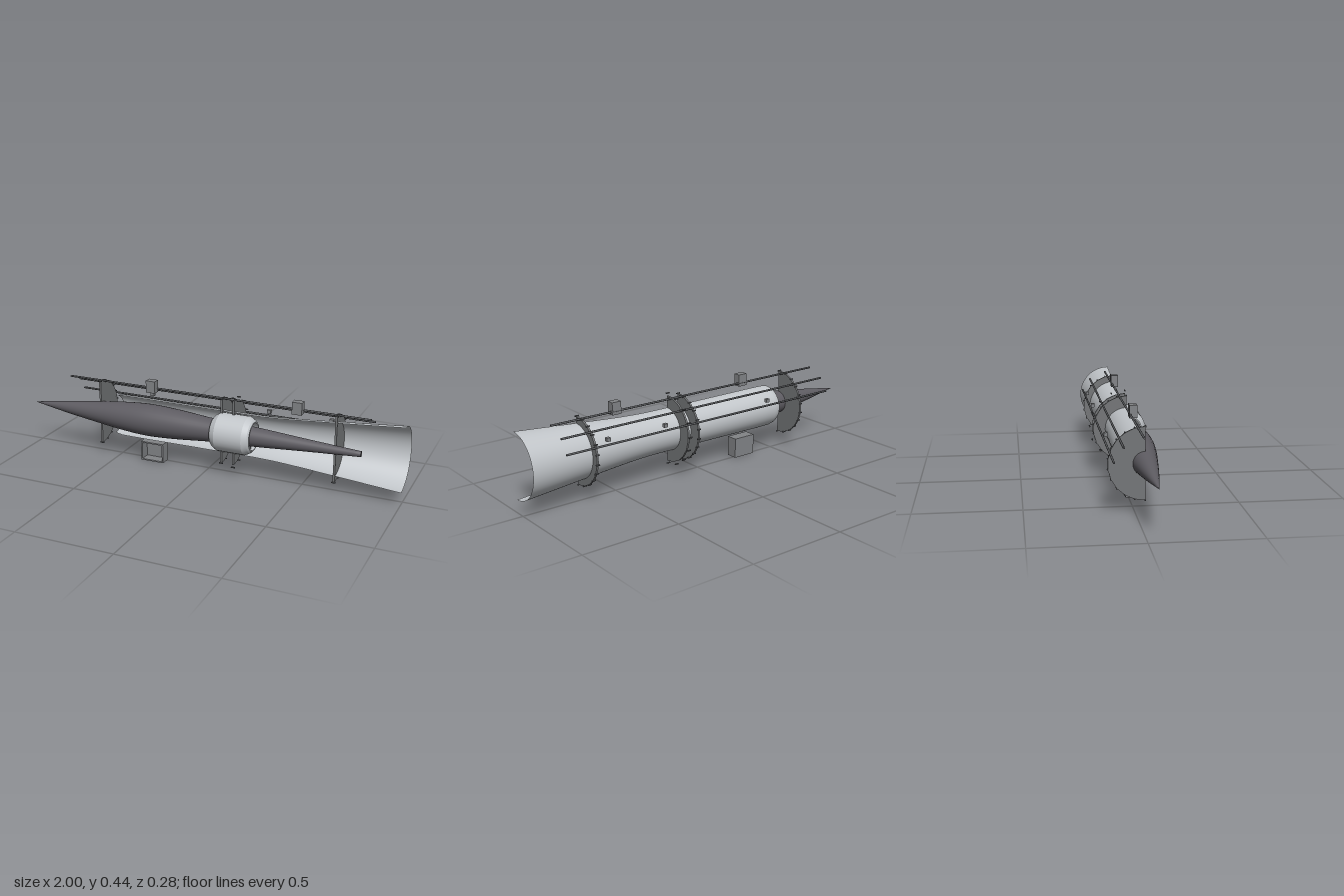
import * as THREE from 'three';

const AXIS_Y = 0.229, AXIS_Z = 0.045;

const mat = (name, color, side = THREE.FrontSide) => {
  const m = new THREE.MeshStandardMaterial({ color, side });
  m.name = name;
  return m;
};

export function createModel() {
  const model = new THREE.Group();
  model.name = 'cutawayNozzle';
  const lightMetal = mat('light metal', 0xc2c6ca, THREE.DoubleSide);
  const darkMetal = mat('dark metal', 0x5e5c62, THREE.DoubleSide);
  const plateMetal = mat('plate metal', 0x747678);
  const boxMetal = mat('box metal', 0x828487);
  const rodMetal = mat('rod metal', 0x5a5c5f);

  const add = (name, geometry, material, x = 0, y = 0, z = 0, parent = model) => {
    const mesh = new THREE.Mesh(geometry, material);
    mesh.name = name;
    mesh.position.set(x, y, z);
    parent.add(mesh);
    return mesh;
  };

  // Everything turned about the long axis lives in this group
  const core = new THREE.Group();
  core.name = 'core';
  core.position.set(0, AXIS_Y, AXIS_Z);
  model.add(core);

  // Profile points are [x, radius]; the lathe axis is laid along x
  const turned = (profile, segments, start = 0, length = Math.PI * 2) =>
    new THREE.LatheGeometry(profile.map(([x, r]) => new THREE.Vector2(r, x)), segments, start, length)
      .rotateZ(-Math.PI / 2);
  const smooth = (points, n) => new THREE.SplineCurve(points.map(p => new THREE.Vector2(...p)))
    .getPoints(n).map(p => [p.x, Math.max(p.y, 0)]);

  // Half shell, open towards the front
  const shellProfile = [[-0.512, 0.098], [-0.5, 0.104], [-0.475, 0.109],
    ...smooth([[-0.4, 0.11], [0.1, 0.109], [0.36, 0.112], [0.67, 0.135], [1, 0.163]], 28)];
  add('shell', turned(shellProfile, 32, Math.PI / 2, Math.PI), lightMetal, 0, 0, 0, core);

  // Spindle with a pointed nose and a hollow tail tip
  const spindleProfile = smooth([[-1, 0], [-0.8, 0.031], [-0.6, 0.057], [-0.45, 0.074], [-0.31, 0.082],
    [-0.15, 0.075], [0.05, 0.058], [0.27, 0.048], [0.55, 0.029], [0.8, 0.014]], 45);
  add('spindle', turned([...spindleProfile, [0.8, 0.008], [0.77, 0.008]], 32), darkMetal, 0, 0, 0, core);

  // Collar round the spindle: separate lathe bands keep its edges sharp
  const collar = new THREE.Group();
  collar.name = 'collar';
  core.add(collar);
  const collarProfile = [[0.05, 0.068], [0.05, 0.074], [0.058, 0.083], [0.083, 0.097], [0.227, 0.097],
    [0.252, 0.083], [0.26, 0.074], [0.26, 0.068], [0.05, 0.068]];
  for (let i = 0; i < collarProfile.length - 1; i++)
    add('collarBand', turned([collarProfile[i], collarProfile[i + 1]], 32), lightMetal, 0, 0, 0, collar);
  for (let i = 0; i < 4; i++) {
    const strut = new THREE.BoxGeometry(0.18, 0.026, 0.005).translate(0.155, 0.06, 0);
    add('collarStrut', strut.rotateX(i * Math.PI / 2), boxMetal, 0, 0, 0, collar);
  }

  // Half-disc bulkheads with bolts round the rim
  const bulkhead = (x, radius, boltRadius, boltSteps) => {
    const group = new THREE.Group();
    group.name = 'bulkhead';
    group.position.x = x;
    core.add(group);
    const shape = new THREE.Shape();
    for (let i = 0; i <= 11; i++) {
      const a = -Math.PI / 2 + i * Math.PI / 11;
      shape[i ? 'lineTo' : 'moveTo'](radius * Math.cos(a), radius * Math.sin(a));
    }
    shape.closePath();
    const disc = new THREE.ExtrudeGeometry(shape, { depth: 0.01, bevelEnabled: false })
      .translate(0, 0, -0.005).rotateY(Math.PI / 2);
    add('bulkheadPlate', disc, plateMetal, 0, 0, 0, group);
    const bolt = new THREE.CylinderGeometry(0.0038, 0.0038, 0.02, 8).rotateZ(Math.PI / 2);
    for (let i = 0; i <= boltSteps; i++) {
      const a = -Math.PI / 2 + i * Math.PI / boltSteps;
      add('bolt', bolt, rodMetal, 0, boltRadius * Math.sin(a), -boltRadius * Math.cos(a), group);
    }
  };
  for (const x of [-0.597, 0.086, 0.672]) bulkhead(x, 0.17, 0.17, 11);
  bulkhead(0.15, 0.17, 0.183, 8);

  // Long rods over the upper back
  for (const [y, z] of [[0.392, 0.012], [0.352, -0.075], [0.288, -0.117]])
    add('rod', new THREE.CylinderGeometry(0.005, 0.005, 1.62, 10).rotateZ(Math.PI / 2), rodMetal, 0.02, y, z);

  // Small clips beside the lowest rod
  for (const x of [-0.37, 0.28, 0.605])
    add('clip', new THREE.BoxGeometry(0.02, 0.018, 0.018), boxMetal, x, 0.312, -0.109);

  // Top mounting blocks
  for (const x of [-0.305, 0.475])
    add('topBlock', new THREE.BoxGeometry(0.05, 0.062, 0.037), boxMetal, x, 0.406, 0.0265);

  // Lower box, hollow and open at the front
  const w = 0.0625, h = 0.0515, t = 0.007;
  const rectangle = (Type, a, b) => new Type(
    [[-a, -b], [a, -b], [a, b], [-a, b]].map(p => new THREE.Vector2(...p)));
  const frame = rectangle(THREE.Shape, w, h);
  frame.holes.push(rectangle(THREE.Path, w - t, h - t));
  const lowerBox = new THREE.Group();
  lowerBox.name = 'lowerBox';
  lowerBox.position.set(-0.303, h, 0);
  model.add(lowerBox);
  add('lowerBoxWalls', new THREE.ExtrudeGeometry(frame, { depth: 0.06, bevelEnabled: false }),
    boxMetal, 0, 0, -0.015, lowerBox);
  add('lowerBoxBack', new THREE.BoxGeometry(2 * w - t, 2 * h - t, t), boxMetal, 0, 0, -0.0115, lowerBox);

  return model;
}
